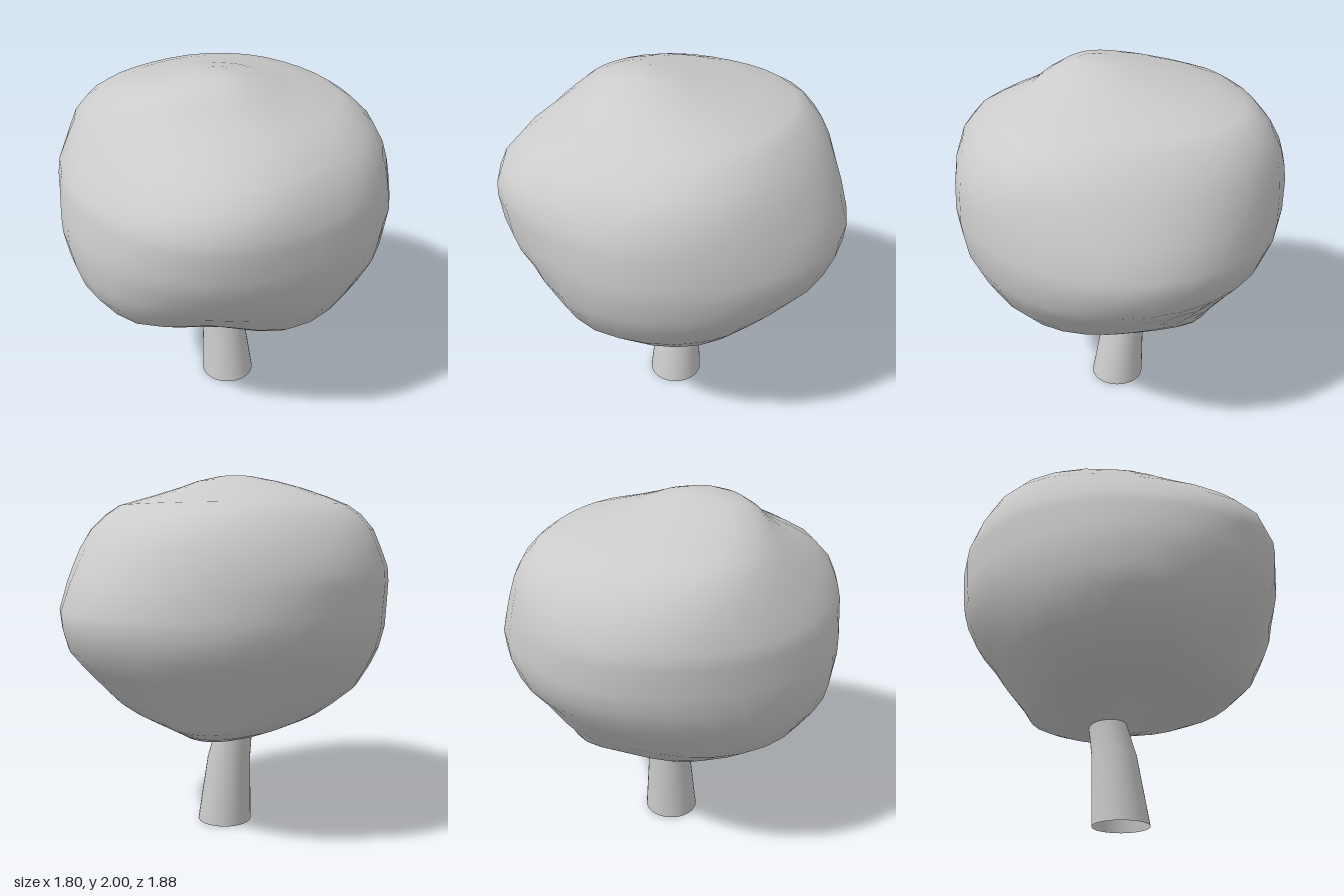
import * as THREE from 'three';

const SEGMENTS = 32;

// Corner bulges of the crown by height: [y, +x+z, -x+z, -x-z, +x-z]
const BULGES = [
  [0.53, 0, 0, 0, 0],
  [0.57, 0, 0.01, 0.03, 0.02],
  [0.65, -0.10, 0.03, 0.08, 0.04],
  [0.80, -0.15, 0.03, 0.06, 0.02],
  [0.95, -0.09, 0.01, 0.02, 0],
  [1.20, 0.02, -0.01, -0.02, -0.03],
  [1.40, 0.065, 0, -0.02, -0.015],
  [1.60, 0.11, 0.03, 0.01, 0.015],
  [1.72, 0.08, 0.06, 0.03, 0.03],
  [1.82, 0.01, 0.05, 0.03, 0.04],
  [1.90, -0.04, 0.01, 0, 0.02],
  [2.00, 0, 0, 0, 0],
];

function crownBulge(y, angle) {
  const k = Math.max(1, BULGES.findIndex((row) => row[0] >= y));
  const [low, high] = [BULGES[k - 1], BULGES[k]];
  const t = (y - low[0]) / (high[0] - low[0]);
  const corner = 1 + Math.floor(angle / (Math.PI / 2));
  return THREE.MathUtils.lerp(low[corner], high[corner], t) * Math.sin(2 * angle) ** 2;
}

// Skins a stack of oval rings [y, xMin, xMax, zMin, zMax]; capped ends close to a point.
function loft(rings, capped, bulge = () => 0) {
  const points = [], index = [];
  for (const [y, x0, x1, z0, z1] of rings) {
    for (let i = 0; i < SEGMENTS; i++) {
      const a = (i / SEGMENTS) * Math.PI * 2;
      const b = bulge(y, a);
      points.push(
        (x0 + x1) / 2 + Math.cos(a) * ((x1 - x0) / 2 + b),
        y,
        (z0 + z1) / 2 + Math.sin(a) * ((z1 - z0) / 2 + b)
      );
    }
  }
  for (let r = 0; r < rings.length - 1; r++) {
    for (let i = 0; i < SEGMENTS; i++) {
      const a = r * SEGMENTS + i;
      const b = r * SEGMENTS + (i + 1) % SEGMENTS;
      index.push(a, a + SEGMENTS, b, b, a + SEGMENTS, b + SEGMENTS);
    }
  }
  if (capped) {
    const last = rings.length - 1;
    for (const r of [0, last]) {
      const [y, x0, x1, z0, z1] = rings[r];
      const pole = points.length / 3;
      points.push((x0 + x1) / 2, y, (z0 + z1) / 2);
      for (let i = 0; i < SEGMENTS; i++) {
        const a = r * SEGMENTS + i;
        const b = r * SEGMENTS + (i + 1) % SEGMENTS;
        if (r === 0) index.push(pole, a, b);
        else index.push(pole, b, a);
      }
    }
  }
  const geometry = new THREE.BufferGeometry();
  geometry.setAttribute('position', new THREE.Float32BufferAttribute(points, 3));
  geometry.setIndex(index);
  geometry.computeVertexNormals();
  return geometry;
}

export function createModel() {
  const group = new THREE.Group();
  group.name = 'tree';

  // Lumpy crown: flat sloping top, full middle, undercut on the +x +z underside
  const crown = new THREE.Mesh(
    loft([
      [0.53, -0.19, 0.00, -0.14, 0.06],
      [0.555, -0.27, 0.08, -0.29, 0.18],
      [0.60, -0.38, 0.15, -0.37, 0.26],
      [0.65, -0.46, 0.30, -0.46, 0.43],
      [0.68, -0.50, 0.50, -0.51, 0.55],
      [0.73, -0.55, 0.66, -0.57, 0.67],
      [0.82, -0.64, 0.76, -0.66, 0.81],
      [0.95, -0.74, 0.83, -0.79, 0.90],
      [1.05, -0.82, 0.87, -0.88, 0.925],
      [1.17, -0.88, 0.89, -0.925, 0.94],
      [1.27, -0.895, 0.90, -0.935, 0.935],
      [1.42, -0.905, 0.89, -0.88, 0.91],
      [1.50, -0.895, 0.875, -0.84, 0.88],
      [1.60, -0.86, 0.83, -0.79, 0.81],
      [1.70, -0.80, 0.76, -0.72, 0.735],
      [1.78, -0.73, 0.65, -0.64, 0.66],
      [1.83, -0.65, 0.56, -0.57, 0.61],
      [1.88, -0.50, 0.46, -0.39, 0.55],
      [1.93, -0.31, 0.38, -0.21, 0.48],
      [1.97, -0.14, 0.29, -0.09, 0.39],
      [2.00, 0.00, 0.20, 0.05, 0.24],
    ], true, crownBulge),
    new THREE.MeshStandardMaterial({ color: 0xcccccc })
  );
  crown.name = 'crown';

  // Tapered trunk, open at both ends, bending towards -x as it enters the crown
  const trunk = new THREE.Mesh(
    loft([
      [0.00, -0.14, 0.17, -0.14, 0.17],
      [0.38, -0.145, 0.10, -0.105, 0.145],
      [0.55, -0.165, 0.045, -0.08, 0.135],
      [0.62, -0.175, 0.02, -0.07, 0.13],
    ], false),
    new THREE.MeshStandardMaterial({ color: 0xcccccc, side: THREE.DoubleSide })
  );
  trunk.name = 'trunk';

  group.add(crown, trunk);
  return group;
}
